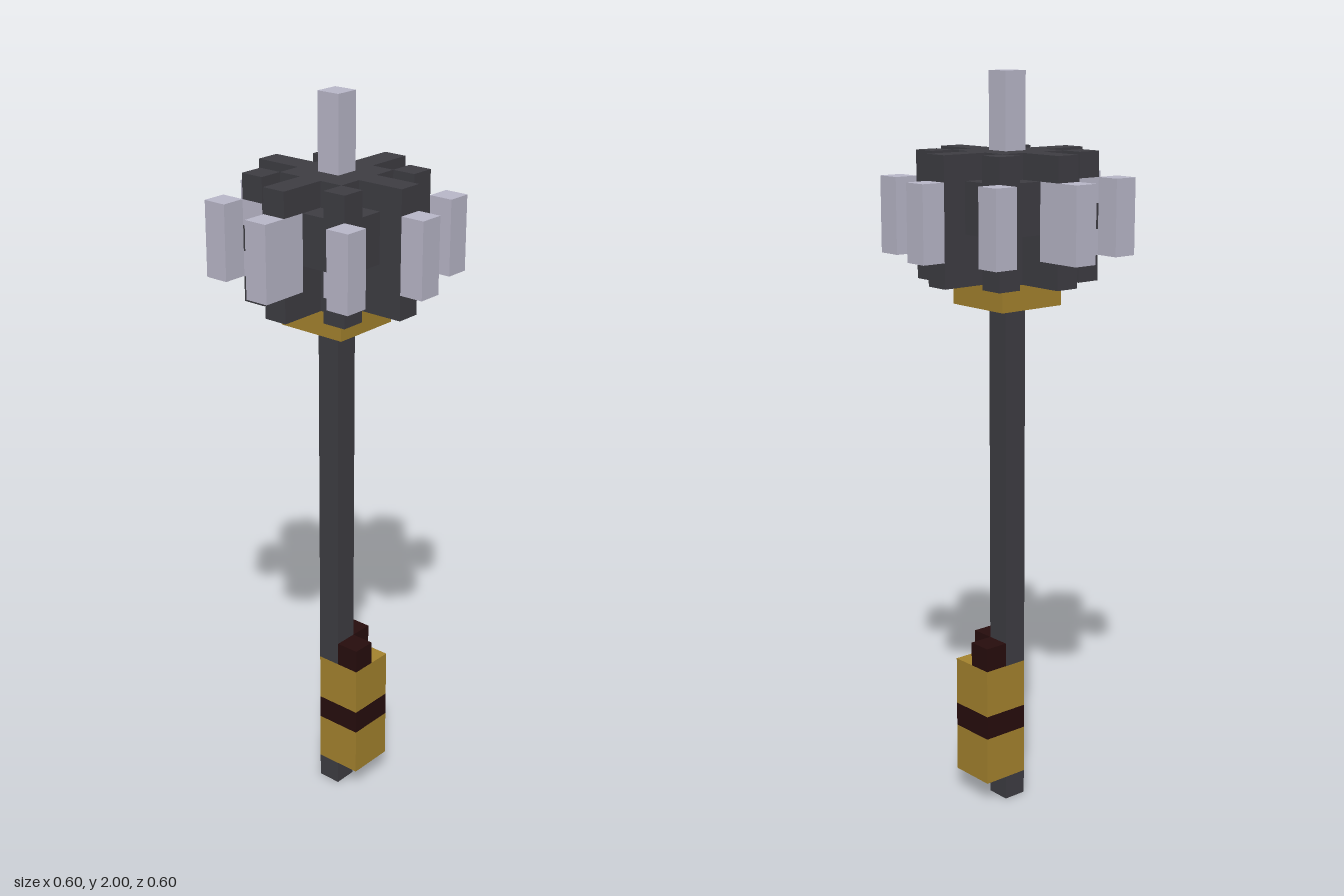
import * as THREE from 'three';

const U = 2 / 30; // size of one block

const mat = (name, color) => {
  const m = new THREE.MeshStandardMaterial({ color });
  m.name = name;
  return m;
};

export function createModel() {
  const iron = mat('dark iron', 0x3e3d43);
  const steel = mat('pale steel', 0xbab8ca);
  const gold = mat('gold', 0xa5832e);
  const leather = mat('dark leather', 0x270d0d);

  const model = new THREE.Group();
  model.name = 'mace';

  // Box spanning whole blocks; x and z blocks are centred on their index, y counts up from the ground
  const blocks = (parent, name, material, [x0, x1], [y0, y1], [z0, z1]) => {
    const geo = new THREE.BoxGeometry((x1 - x0 + 1) * U, (y1 - y0 + 1) * U, (z1 - z0 + 1) * U);
    const mesh = new THREE.Mesh(geo, material);
    mesh.position.set((x0 + x1) / 2 * U, (y0 + y1 + 1) / 2 * U, (z0 + z1) / 2 * U);
    mesh.name = name;
    parent.add(mesh);
  };
  const column = (parent, name, material, x, y, z) =>
    blocks(parent, name, material, [x, x], y, [z, z]);
  const group = (name) => {
    const g = new THREE.Group();
    g.name = name;
    model.add(g);
    return g;
  };

  // Shaft
  column(model, 'pommel', iron, 0, [0, 0], 0);
  column(model, 'shaft', iron, 0, [6, 20], 0);

  // Grip, offset to the left and back
  const grip = group('grip');
  blocks(grip, 'lowerGrip', gold, [0, 1], [1, 2], [-1, 0]);
  blocks(grip, 'gripBand', leather, [0, 1], [3, 3], [-1, 0]);
  blocks(grip, 'upperGrip', gold, [0, 1], [4, 5], [-1, 0]);
  column(grip, 'gripKnot', leather, 1, [6, 6], 0);
  column(grip, 'gripKnot', leather, 0, [6, 6], -1);

  // Collar and head core
  blocks(model, 'collar', gold, [-1, 1], [21, 21], [-1, 1]);
  const head = group('head');
  blocks(head, 'core', iron, [-1, 1], [22, 26], [-1, 1]);
  column(head, 'topSpike', steel, 0, [27, 29], 0);

  // Straight flanges with their spikes; two have a thicker spike root
  for (const [dx, dz] of [[1, 0], [-1, 0], [0, 1], [0, -1]]) {
    const thick = dx === -1 || dz === 1;
    column(head, 'flange', iron, 2 * dx, [22, 26], 2 * dz);
    column(head, 'flangeFoot', iron, 3 * dx, [22, 22], 3 * dz);
    column(head, 'spikeRoot', thick ? steel : iron, 3 * dx, [23, 25], 3 * dz);
    column(head, 'flangeCap', iron, 3 * dx, [26, 26], 3 * dz);
    column(head, 'spike', steel, 4 * dx, [23, 25], 4 * dz);
  }

  // Diagonal flanges, with steel studs on the front ones
  for (const sx of [-1, 1]) for (const sz of [-1, 1]) {
    for (let y = 22; y <= 26; y++) {
      const stud = sz === 1 && (y === 23 || (y === 25 && sx === -1));
      column(head, stud ? 'stud' : 'cornerFlange', stud ? steel : iron, 2 * sx, [y, y], 2 * sz);
    }
    column(head, 'cornerSpike', steel, 3 * sx, [23, 25], 3 * sz);
    // Fillers between the flanges
    column(head, 'filler', iron, sx, [24, 25], 2 * sz);
    column(head, 'filler', iron, 2 * sx, [24, 25], sz);
  }

  return model;
}
